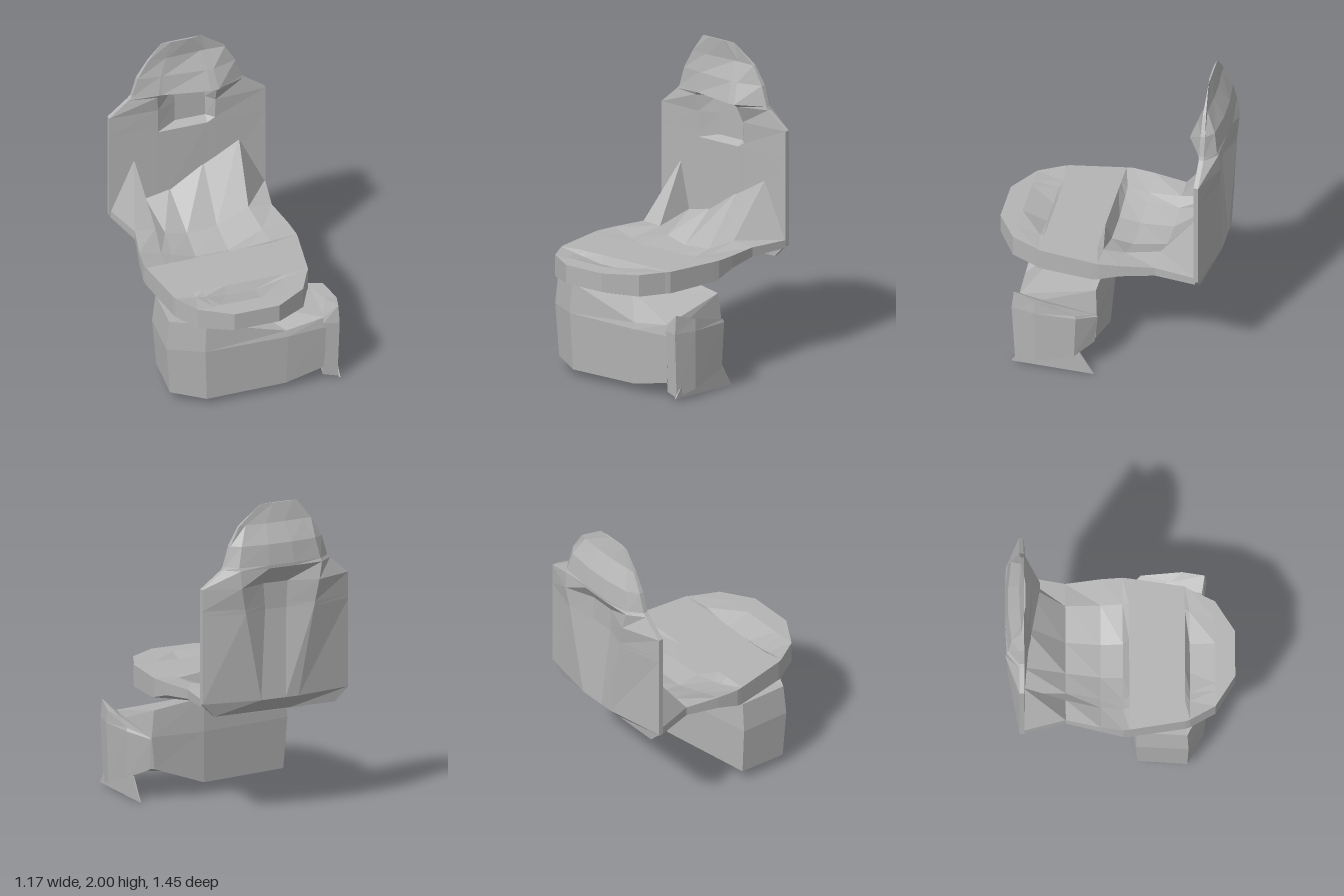
import * as THREE from 'three';

const grey = new THREE.MeshStandardMaterial({ color: 0xb4b4b4, flatShading: true, side: THREE.DoubleSide });
grey.name = 'stone grey';

// Skin a list of closed loops with equal point counts, capping both ends.
function loft(name, loops) {
  const pos = [];
  const tri = (a, b, c) => pos.push(...a, ...b, ...c);
  const n = loops[0].length;
  for (let i = 0; i < loops.length - 1; i++) {
    for (let j = 0; j < n; j++) {
      const k = (j + 1) % n;
      tri(loops[i][j], loops[i][k], loops[i + 1][k]);
      tri(loops[i][j], loops[i + 1][k], loops[i + 1][j]);
    }
  }
  const cap = (loop, flip) => {
    const middle = [0, 1, 2].map((axis) => loop.reduce((sum, p) => sum + p[axis], 0) / n);
    loop.forEach((p, j) => {
      const q = loop[(j + 1) % n];
      if (flip) tri(q, p, middle);
      else tri(p, q, middle);
    });
  };
  cap(loops[0], true);
  cap(loops[loops.length - 1], false);
  const geometry = new THREE.BufferGeometry();
  geometry.setAttribute('position', new THREE.Float32BufferAttribute(pos, 3));
  geometry.computeVertexNormals();
  const mesh = new THREE.Mesh(geometry, grey);
  mesh.name = name;
  return mesh;
}

// Upright block from corners [x, z, bottom y, top y], widest at a middle height.
function block(name, corners, [cx, cz], middleY, bottomScale, topScale) {
  const ring = (scale, height) => corners.map(([x, z, low, high]) =>
    [cx + (x - cx) * scale, height(low, high), cz + (z - cz) * scale]);
  return loft(name, [
    ring(bottomScale, (low) => low),
    ring(1, (low, high) => Math.min(middleY, high - 0.01)),
    ring(topScale, (low, high) => high),
  ]);
}

// Backrest: rounded crown, shoulders, square front niche, rear hollow between ridges that close in downwards.
function backrest() {
  // y, left x, right x, then z of the front, the rear ridges and the rear middle
  const rows = [
    [0.67, -0.5, 0.36, -0.59, -0.62, -0.62],
    [0.76, -0.59, 0.45, -0.6, -0.7, -0.7],
    [1.33, -0.59, 0.45, -0.59, -0.71, -0.65],
    [1.36, -0.59, 0.45, -0.59, -0.71, -0.65],
    [1.5, -0.59, 0.45, -0.58, -0.72, -0.65],
    [1.61, -0.46, 0.3, -0.53, -0.71, -0.72],
    [1.63, -0.44, 0.29, -0.5, -0.7, -0.72],
    [1.76, -0.4, 0.25, -0.55, -0.68, -0.7],
    [1.88, -0.33, 0.18, -0.605, -0.62, -0.63],
    [2.0, -0.24, 0.02, -0.59, -0.6, -0.6],
  ];
  return loft('backrest', rows.map(([y, left, right, front, ridge, middle]) => {
    const centre = (left + right) / 2;
    const narrow = Math.min(1, (right - left) / 0.72);
    const gather = Math.min(1, 0.4 + 0.6 * (y - 0.67) / 0.9);
    const at = (x, z) => [centre + x * narrow, y, z];
    const inNiche = y > 1.35 && y < 1.62;
    const frontLeft = -0.59 + (front + 0.59) * 0.35;
    const edge = Math.max(ridge, -0.6);
    const side = Math.max(ridge, -0.63);
    return [
      [left, y, edge], at(-0.2, frontLeft), at(inNiche ? -0.07 : -0.18, inNiche ? -0.64 : frontLeft),
      at(0.13, inNiche ? -0.64 : front), at(0.18, front), [right, y, edge],
      [right, y, side], at(0.3 * gather, ridge), at(0.1 * gather, middle),
      at(-0.08 * gather, middle), at(-0.28 * gather, ridge), [left, y, side],
    ];
  }));
}

// Seat: flat front with a shallow groove, sunken rear valley and raised rear corners.
function seat() {
  const columns = [0, 0.15, 0.22, 0.38, 0.6, 0.83, 1];
  const dip = [0, 0.4, 0.6, 1, 1, 0.15, 0];
  const wing = [0, 1, 0.15, 0.25, 0.65, 1, 0];
  // z, left x, right x, edge underside y, middle underside y, valley depth, wing rise
  const rows = [
    [-0.61, -0.58, 0.45, 0.74, 0.66, 0, 0.37],
    [-0.34, -0.51, 0.4, 0.73, 0.65, 0.1, 0.03],
    [-0.12, -0.56, 0.43, 0.71, 0.63, 0.12, 0],
    [0.02, -0.58, 0.44, 0.67, 0.61, 0.1, 0],
    [0.06, -0.575, 0.435, 0.66, 0.61, 0, 0],
    [0.41, -0.52, 0.38, 0.65, 0.62, 0, 0],
    [0.44, -0.51, 0.36, 0.65, 0.62, 0.05, 0],
    [0.6, -0.42, 0.28, 0.65, 0.63, 0, 0],
    [0.725, -0.22, 0.08, 0.67, 0.67, 0, 0],
  ];
  return loft('seat', rows.map(([z, left, right, edge, middle, depth, rise]) => {
    const x = (u) => left + (right - left) * u;
    const top = columns.map((u, i) => [x(u), 0.79 - depth * dip[i] + rise * wing[i], z]);
    return [[left, edge, z], [x(0.3), middle, z], [x(0.7), middle, z], [right, edge, z], ...top.reverse()];
  }));
}

// Thin spur reaching the ground behind the side block.
function sideSpur() {
  const slice = (x) => [[x, 0.02, 0.55], [x, 0, 0.02], [x, 0.15, 0.11], [x, 0.15, 0.45]];
  return loft('sideSpur', [slice(0.537), slice(0.545)]);
}

export function createModel() {
  const model = new THREE.Group();
  model.name = 'chair';
  // Faceted drum under the seat, its top falling away at the front left corner
  const base = block('base', [
    [-0.57, 0.43, 0.07, 0.61], [-0.35, 0.54, 0.04, 0.61], [0.2, 0.55, 0.05, 0.45], [0.47, 0.53, 0.1, 0.48],
    [0.46, 0.02, 0.2, 0.58], [0.1, 0, 0.08, 0.63], [-0.55, 0.1, 0.08, 0.61],
  ], [-0.05, 0.27], 0.41, 0.95, 0.96);
  // Block beside the base, its top sloping down to the rear
  const sideBlock = block('sideBlock', [
    [0.44, 0.53, 0.04, 0.48], [0.54, 0.55, 0.02, 0.56], [0.58, 0.4, 0.06, 0.52],
    [0.58, 0.13, 0.14, 0.46], [0.47, 0.01, 0.2, 0.41],
  ], [0.46, 0.28], 0.44, 0.92, 0.95);
  model.add(backrest(), seat(), base, sideBlock, sideSpur());
  return model;
}
